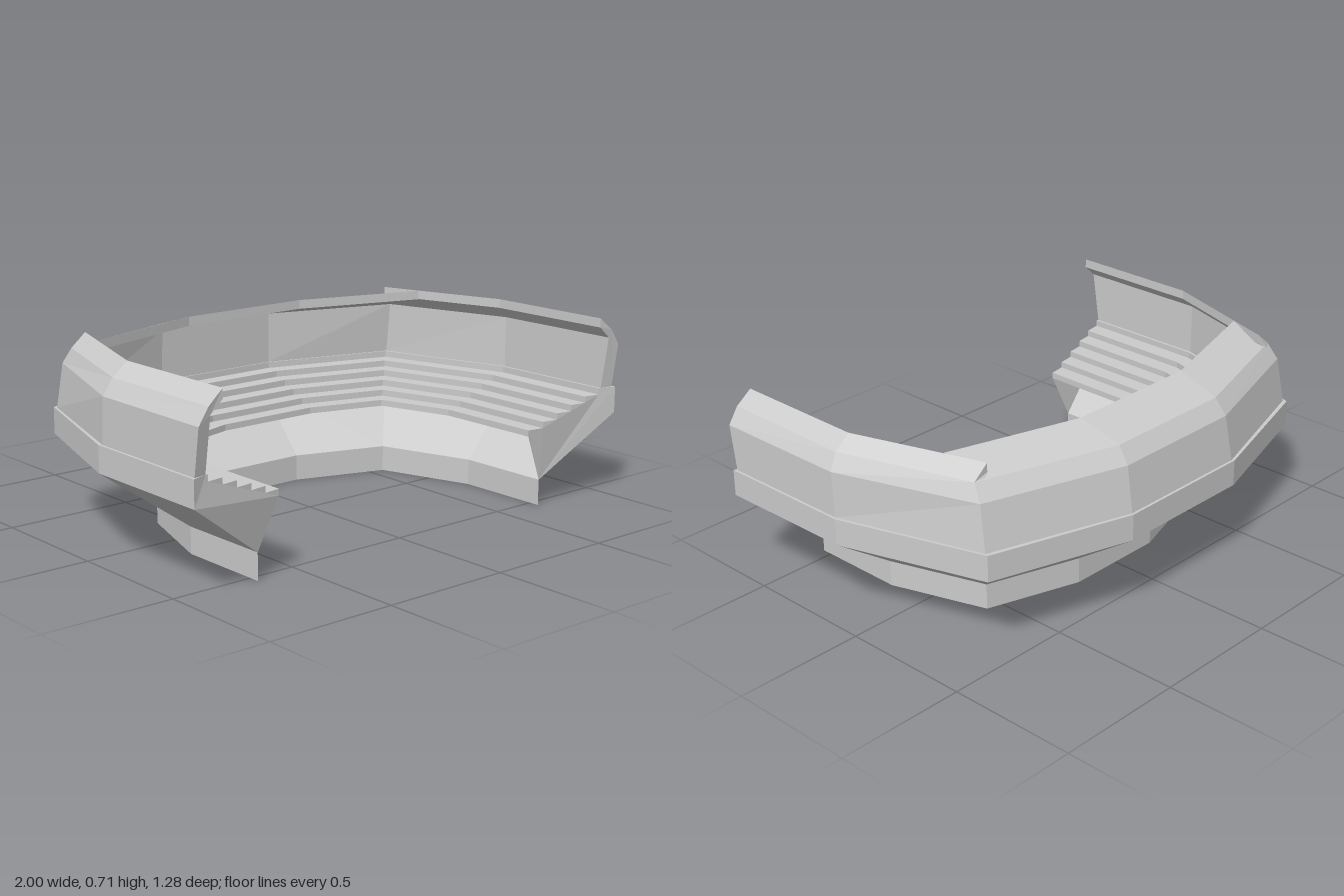
import * as THREE from 'three';

const material = new THREE.MeshStandardMaterial({
  color: 0xcccccc, flatShading: true, side: THREE.DoubleSide,
});

// A level is one horizontal outline of the left half: arm end, bend, corner, back, each [x, z]
const level = (y, ...points) => points.map(([x, z]) => new THREE.Vector3(x, y, z));
const flip = (p) => new THREE.Vector3(-p.x, p.y, p.z);
const mirrored = (half) => half.map(flip).reverse();
const full = (half) => [...half, ...mirrored(half)];

function mesh(name, points) {
  const geometry = new THREE.BufferGeometry().setFromPoints(points);
  geometry.computeVertexNormals();
  const part = new THREE.Mesh(geometry, material);
  part.name = name;
  return part;
}

// Faceted sheet through a series of outlines
function loft(name, rows) {
  const tris = [];
  for (let r = 0; r + 1 < rows.length; r++) {
    for (let i = 0; i + 1 < rows[r].length; i++) {
      const a = rows[r][i], b = rows[r][i + 1], c = rows[r + 1][i + 1], d = rows[r + 1][i];
      tris.push(a, b, c, a, c, d);
    }
  }
  return mesh(name, tris);
}

// Flat closing face over a section
function cap(name, points) {
  const outline = points.map((p) => new THREE.Vector2(p.x, p.y));
  const faces = THREE.ShapeUtils.triangulateShape(outline, []);
  return mesh(name, faces.flat().map((i) => points[i]));
}

export function createModel() {
  const model = new THREE.Group();
  model.name = 'curvedGrandstand';

  // Outlines of the shell, from the ground up
  const base = [[0.68, 0.54], [0.68, 0.165], [0.56, -0.205], [0.2, -0.32]];
  const rim = [[1, 0.625], [0.995, 0.08], [0.82, -0.475], [0.28, -0.64]];
  const ground = level(0, ...base), baseTop = level(0.1, ...base);
  const rimLow = level(0.33, ...rim), rimTop = level(0.43, ...rim);

  // Outlines of the wall and eaves
  const wallOutLow = level(0.43, [0.99, 0.615], [0.985, 0.09], [0.815, -0.46], [0.275, -0.63]);
  const wallOutTop = level(0.6, [0.99, 0.64], [0.985, 0.1], [0.805, -0.43], [0.268, -0.6]);
  const eave = level(0.66, [0.95, 0.64], [0.95, 0.11], [0.79, -0.39], [0.262, -0.555]);
  const wallInTop = level(0.63, [0.94, 0.635], [0.94, 0.1], [0.78, -0.41], [0.262, -0.57]);
  const wallInLow = level(0.43, [0.94, 0.605], [0.94, 0.1], [0.78, -0.43], [0.265, -0.575]);

  // Stepped seating: riser and tread outlines, top to bottom
  const steps = [];
  const stepCount = 6, rise = 0.145 / stepCount;
  for (let k = stepCount - 1; k >= 0; k--) {
    const plan = [
      [0.6 + 0.066 * k, 0.555 + 0.01 * k], [0.6 + 0.066 * k, 0.13 - 0.006 * k],
      [0.51 + 0.052 * k, -0.16 - 0.053 * k], [0.21 + 0.01 * k, -0.245 - 0.065 * k],
    ];
    steps.push(level(0.285 + rise * (k + 1), ...plan), level(0.285 + rise * k, ...plan));
  }

  model.add(
    loft('baseWall', [ground, baseTop].map(full)),
    loft('slopedUnderside', [baseTop, rimLow].map(full)),
    loft('rimBand', [rimLow, rimTop, wallInLow].map(full)),
    loft('seatingSteps', [wallInLow, ...steps].map(full)),
    loft('outerWall', [wallOutLow, wallOutTop].map(full)),
    loft('innerWall', [wallInTop, wallInLow].map(full)),
  );

  // Deep roof over the back
  const backPlan = [[0.775, -0.235], [0.27, -0.385]];
  const backRoof = [
    wallOutTop.slice(2), eave.slice(2), level(0.71, ...backPlan),
    level(0.675, ...backPlan), wallInTop.slice(2),
  ];
  model.add(loft('backRoof', backRoof.map(full)));

  // Narrow roofs over the arms, running into the corners
  const armPlan = [[0.89, 0.635], [0.89, 0.11], [0.73, -0.39]];
  const armRoof = [
    wallOutTop.slice(0, 3), eave.slice(0, 3), level(0.71, ...armPlan),
    level(0.675, ...armPlan), wallInTop.slice(0, 3),
  ];

  // Sections that close the arm ends and the corner ends of the arm roofs
  const standEnd = [baseTop, rimLow, rimTop, wallInLow, ...steps].map((row) => row[0]);
  const wallEnd = [wallOutLow, ...armRoof, wallInLow].map((row) => row[0]);
  const cornerEnd = armRoof.map((row) => row[2]);

  for (const [side, rows, move] of [
    ['left', armRoof, (p) => p],
    ['right', armRoof.map(mirrored), flip],
  ]) {
    model.add(
      loft(side + 'ArmRoof', rows),
      cap(side + 'StandEnd', standEnd.map(move)),
      cap(side + 'WallEnd', wallEnd.map(move)),
      cap(side + 'RoofCornerEnd', cornerEnd.map(move)),
    );
  }
  return model;
}
